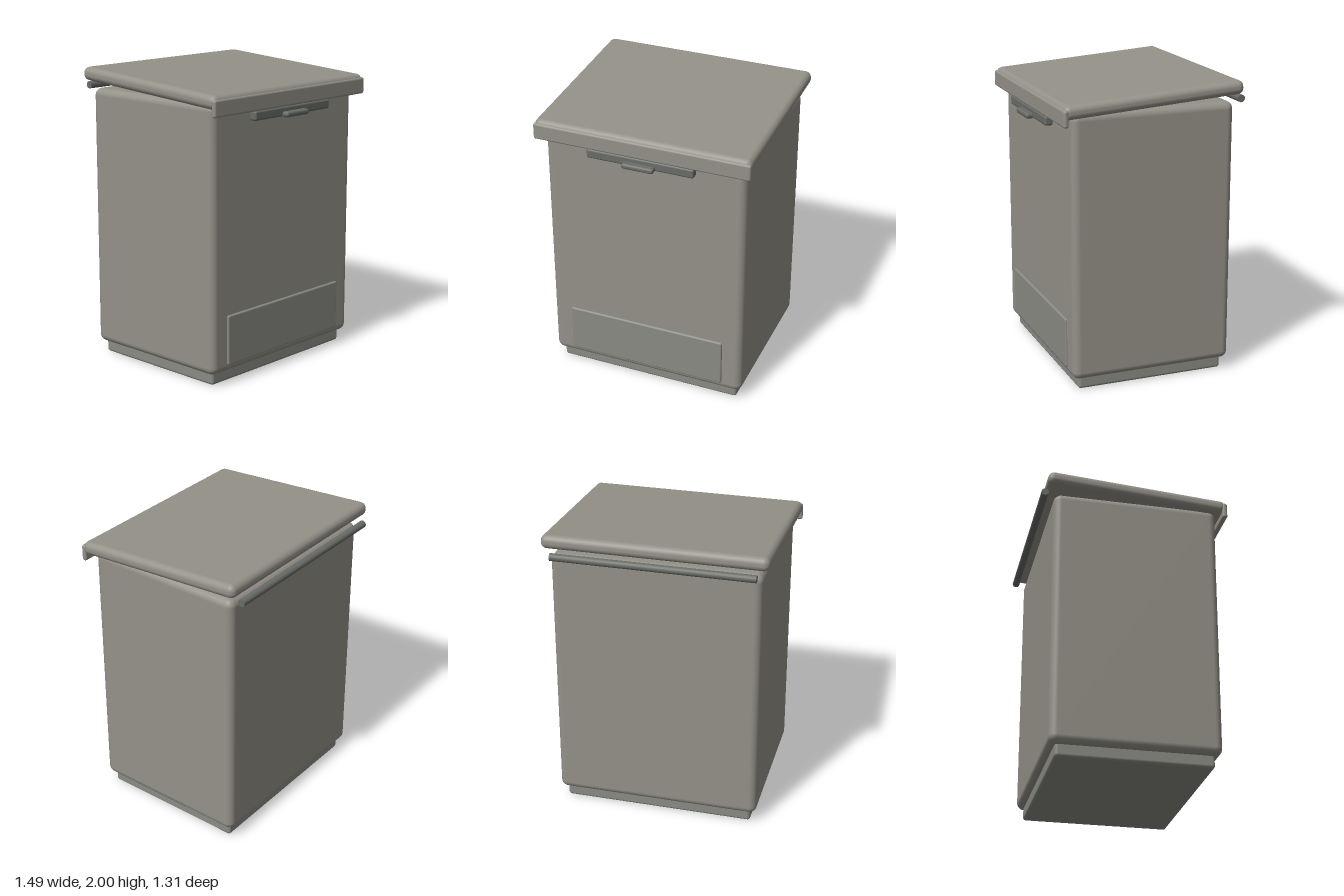
import * as THREE from 'three';
import { RoundedBoxGeometry } from 'three/addons/geometries/RoundedBoxGeometry.js';

export function createModel() {
  const bin = new THREE.Group();
  bin.name = 'lidded bin';
  const shell = new THREE.MeshStandardMaterial({ color: 0x949188 });
  const trim = new THREE.MeshStandardMaterial({ color: 0x8a8b83 });
  const hardware = new THREE.MeshStandardMaterial({ color: 0x696c67 });

  const add = (name, material, geometry, x, y, z) => {
    const mesh = new THREE.Mesh(geometry, material);
    mesh.name = name;
    mesh.position.set(x, y, z);
    bin.add(mesh);
    return mesh;
  };

  // Rounded block spanning +-halfWidth in x and the given y and z ranges
  const block = (name, material, halfWidth, [y0, y1], [z0, z1], radius) =>
    add(name, material, new RoundedBoxGeometry(2 * halfWidth, y1 - y0, z1 - z0, 5, radius),
      0, (y0 + y1) / 2, (z0 + z1) / 2);

  // Container and plinth
  block('body', shell, 0.695, [0.08, 1.858], [-0.57, 0.543], 0.05);
  block('base', trim, 0.65, [0, 0.12], [-0.527, 0.497], 0.02);
  block('frontPanel', trim, 0.558, [0.13, 0.468], [0.52, 0.556], 0.012);

  // Lid, tilted so that its back edge is raised
  const lid = add('lid', shell, new RoundedBoxGeometry(1.485, 0.092, 1.228, 5, 0.041), 0, 1.915, -0.006);
  lid.rotation.x = 0.068;

  // Front lip with catch and pull
  block('lidLip', shell, 0.743, [1.786, 1.897], [0.58, 0.614], 0.014);
  block('catch', hardware, 0.368, [1.724, 1.788], [0.556, 0.612], 0.014);
  block('pull', hardware, 0.11, [1.72, 1.757], [0.6, 0.655], 0.016);

  // Hinge rod along the back
  const rod = add('hingeRod', hardware, new THREE.CylinderGeometry(0.025, 0.025, 1.34, 24), 0, 1.869, -0.63);
  rod.rotation.z = Math.PI / 2;

  return bin;
}
